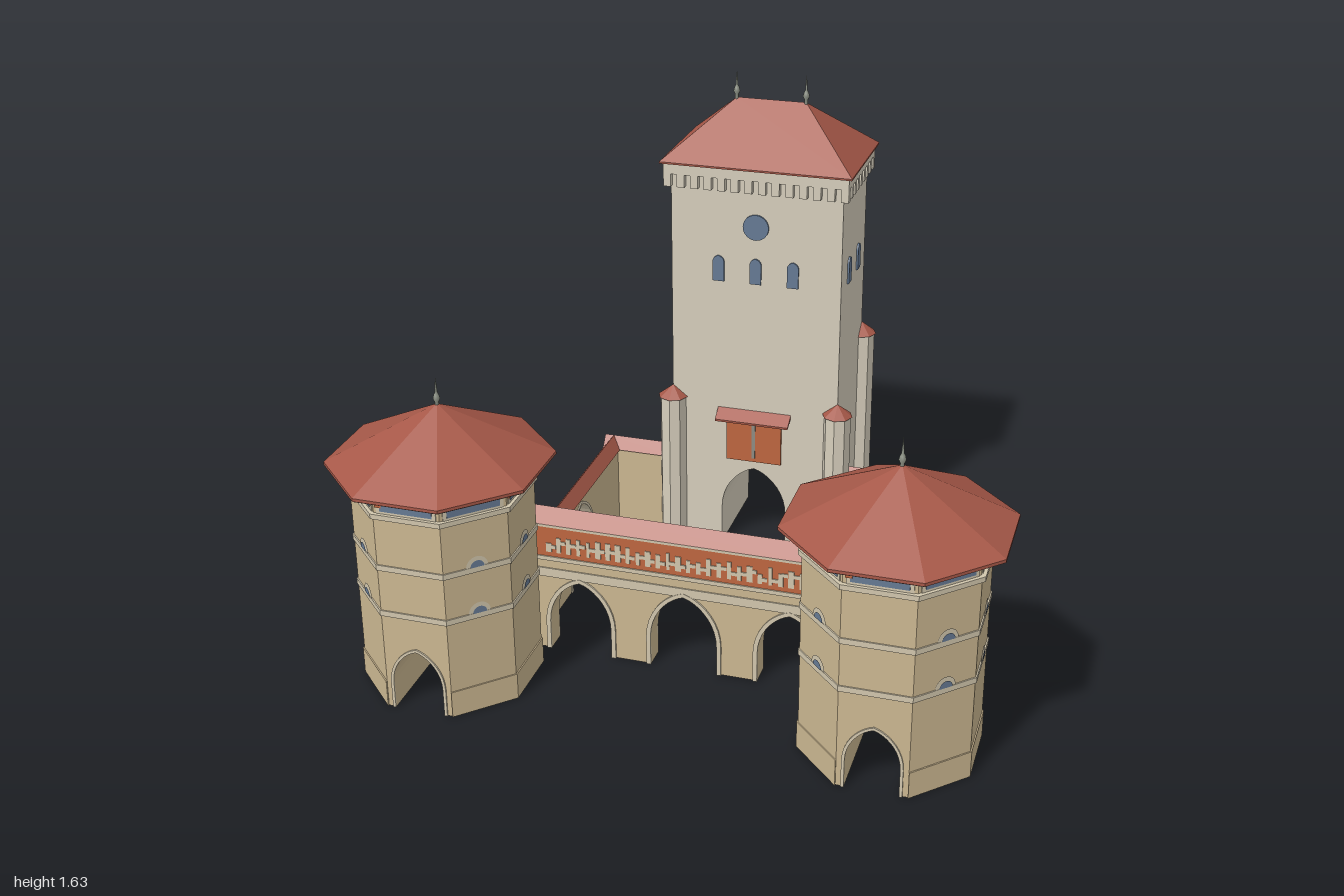
import * as THREE from 'three';
import { ConvexGeometry } from 'three/addons/geometries/ConvexGeometry.js';

const paint = (name, color) => {
  const m = new THREE.MeshStandardMaterial({ color });
  m.name = name;
  return m;
};

export function createModel() {
  const tan = paint('tanBrick', 0xcbb791);
  const stone = paint('paleStone', 0xd6cebc);
  const trim = paint('creamTrim', 0xd2c7ae);
  const tile = paint('roofTile', 0xa65848);
  const glass = paint('blueGlass', 0x667a94);
  const fresco = paint('frescoOrange', 0xbe6640);
  const metal = paint('finialMetal', 0x8b9084);
  const soffit = paint('soffitGrey', 0x8d8c84);

  const root = new THREE.Group();
  root.name = 'cityGate';

  function add(parent, name, geo, mat, x = 0, y = 0, z = 0, ry = 0) {
    const m = new THREE.Mesh(geo, mat);
    m.name = name;
    m.position.set(x, y, z);
    m.rotation.y = ry;
    parent.add(m);
    return m;
  }
  function group(parent, name, x = 0, y = 0, z = 0, ry = 0) {
    const g = new THREE.Group();
    g.name = name;
    g.position.set(x, y, z);
    g.rotation.y = ry;
    parent.add(g);
    return g;
  }
  const box = (w, h, d) => new THREE.BoxGeometry(w, h, d);
  const V2 = (x, y) => new THREE.Vector2(x, y);
  const hull = (pts) => new ConvexGeometry(pts.map((p) => new THREE.Vector3(...p)));
  const extrude = (pts, depth) =>
    new THREE.ExtrudeGeometry(new THREE.Shape(pts), { depth, bevelEnabled: false });

  // Flat-sided octagonal prism or cone standing on y = 0; a is the apothem
  function octagon(aTop, aBottom, h, start = Math.PI / 8) {
    const k = 1 / Math.cos(Math.PI / 8);
    const g = new THREE.CylinderGeometry(aTop * k, aBottom * k, h, 8, 1, false, start).toNonIndexed();
    g.computeVertexNormals();
    return g.translate(0, h / 2, 0);
  }

  // Outline of a slightly pointed arch, left foot to right foot
  function archPts(cx, w, spring, top) {
    const h = top - spring;
    const half = new THREE.CubicBezierCurve(V2(w, spring), V2(w, spring + 0.55 * h),
      V2(0.45 * w, spring + 0.92 * h), V2(0, top)).getPoints(9);
    const right = [V2(w, 0), ...half];
    const left = right.slice(0, -1).map((p) => V2(-p.x, p.y));
    return [...left, ...right.reverse()].map((p) => V2(p.x + cx, p.y));
  }
  const archWall = (x0, x1, h, arches, depth) => extrude(
    [V2(x0, 0), ...arches.flatMap((a) => archPts(...a)), V2(x1, 0), V2(x1, h), V2(x0, h)], depth);
  const archTrim = ([cx, w, s, t], e, depth) =>
    extrude([...archPts(cx, w + e, s, t + e), ...archPts(cx, w, s, t).reverse()], depth);

  // Two-slope tile cap running along x
  const ridgeCap = (x0, x1, hw, h) => hull([x0, x1].flatMap((x) => [[x, 0, hw], [x, 0, -hw], [x, h, 0]]));

  const spire = new THREE.LatheGeometry(
    [[0.006, -0.01], [0.006, 0.01], [0.011, 0.02], [0.008, 0.032], [0.004, 0.04], [0.003, 0.06], [0, 0.09]]
      .map(([x, y]) => V2(x, y)), 10);

  // ---- Main tower ----
  const Z = -0.628, HX = 0.285, HZ = 0.172;
  const tower = group(root, 'mainTower', 0, 0, Z);
  const gate = [0, 0.112, 0.14, 0.3];
  add(tower, 'towerShaft', archWall(-HX, HX, 1.366, [gate], HZ * 2), stone, 0, 0, -HZ);
  add(tower, 'corbelBand', box(0.61, 0.036, 0.384), stone, 0, 1.348, 0);
  const teeth = (ry, n, len, off) => {
    const side = group(tower, 'corbelRow', 0, 0, 0, ry);
    for (let i = 0; i < n; i++) {
      const x = -len / 2 + 0.0125 + (i * (len - 0.025)) / (n - 1);
      add(side, 'corbel', box(0.025, 0.045, 0.021), stone, x, 1.31, off - 0.0105);
    }
  };
  for (const s of [0, 1]) {
    teeth(s * Math.PI, 14, 0.61, 0.192);
    teeth(Math.PI / 2 + s * Math.PI, 9, 0.384, 0.305);
  }
  add(tower, 'hipRoof', hull([
    ...[-1, 1].flatMap((a) => [-1, 1].flatMap((b) =>
      [[a * 0.316, 1.365, b * 0.202], [a * 0.316, 1.371, b * 0.202]])),
    [-0.115, 1.545, 0], [0.115, 1.545, 0]]), tile);
  for (const x of [-0.115, 0.115]) add(tower, 'finial', spire, metal, x, 1.545, 0);

  // Tower windows
  const win = extrude(archPts(0, 0.019, 0.068, 0.088), 0.006);
  const rose = new THREE.CylinderGeometry(0.043, 0.043, 0.006, 24).rotateX(Math.PI / 2);
  for (const ry of [0, Math.PI]) {
    const face = group(tower, ry ? 'backWindows' : 'frontWindows', 0, 0, ry ? -HZ : HZ, ry);
    add(face, 'roundWindow', rose, glass, 0, 1.17, 0.003);
    for (const x of [-0.125, 0, 0.125]) add(face, 'archedWindow', win, glass, x, 0.975, 0);
    if (ry) for (const y of [0.8, 0.5]) add(face, 'stairWindow', win, glass, 0, y, 0);
  }
  for (const s of [-1, 1]) {
    const face = group(tower, 'sideWindows', s * HX, 0, 0, s * Math.PI / 2);
    for (const x of [-0.066, 0.066]) add(face, 'archedWindow', win, glass, x, 0.975, 0);
  }

  // Corner turrets, lower in front and taller behind
  for (const x of [-HX, HX]) {
    for (const [z, h] of [[HZ, 0.54], [-HZ, 0.7]]) {
      const t = group(tower, 'cornerTurret', x, 0, z);
      add(t, 'turretShaft', octagon(0.042, 0.042, h, 0), stone);
      add(t, 'turretRoof', octagon(0, 0.047, 0.04, 0), tile, 0, h, 0);
    }
  }

  // Painted panel with a small sloping hood above the gate
  add(tower, 'gatePanel', box(0.19, 0.16, 0.008), fresco, 0, 0.41, HZ + 0.004);
  add(tower, 'gatePanelLine', box(0.012, 0.13, 0.004), soffit, 0, 0.41, HZ + 0.01);
  add(tower, 'gateHood', hull([-0.126, 0.126].flatMap((x) => [
    [x, 0.518, HZ], [x, 0.505, HZ], [x, 0.49, HZ + 0.042], [x, 0.483, HZ + 0.042]])), tile);

  // ---- Front gallery ----
  const gallery = group(root, 'gallery', 0, 0, 0.28);
  const arches = [[-0.335, 0.1, 0.1, 0.25], [0, 0.106, 0.1, 0.258], [0.335, 0.1, 0.1, 0.25]];
  add(gallery, 'galleryWall', archWall(-0.53, 0.53, 0.447, arches, 0.065), tan);
  add(gallery, 'galleryRoof', ridgeCap(-0.5, 0.5, 0.043, 0.042), tile, 0, 0.445, 0.0325);
  for (const z of [-0.003, 0.068]) {
    add(gallery, 'cornice', box(0.98, 0.014, 0.014), trim, 0, 0.327, z);
    add(gallery, 'paleBand', box(0.98, 0.03, 0.004), trim, 0, 0.274, z);
    add(gallery, 'topCornice', box(0.98, 0.01, 0.01), trim, 0, 0.44, z);
  }
  for (const a of arches) {
    add(gallery, 'archTrim', archTrim(a, 0.014, 0.006), trim, 0, 0, 0.065);
    add(gallery, 'archTrim', archTrim(a, 0.014, 0.006), trim, 0, 0, -0.006);
  }
  add(gallery, 'frescoPanel', box(0.96, 0.1, 0.006), fresco, 0, 0.384, 0.068);
  let seed = 7;
  const rnd = () => (seed = (seed * 16807) % 2147483647) / 2147483647;
  for (let x = -0.43; x < 0.44; x += 0.032) {
    const h = 0.03 + rnd() * 0.03;
    add(gallery, 'frescoFigure', box(0.009 + rnd() * 0.01, h, 0.003), trim, x, 0.35 + h / 2, 0.0725);
    add(gallery, 'frescoFigure', box(0.018 + rnd() * 0.012, 0.012, 0.003), trim, x + 0.012, 0.362 + rnd() * 0.03, 0.0725);
  }

  // ---- Courtyard walls ----
  const sideArch = [0.095, 0.104, 0.12, 0.274];
  const sideWall = archWall(-0.38, 0.51, 0.302, [sideArch], 0.044).rotateY(Math.PI / 2);
  const sideTrim = archTrim(sideArch, 0.01, 0.052).rotateY(Math.PI / 2);
  for (const s of [-1, 1]) {
    const court = group(root, 'courtyardWall', s * 0.515, 0, 0);
    add(court, 'sideWall', sideWall, tan, -0.022);
    add(court, 'sideArchTrim', sideTrim, trim, -0.026);
    add(court, 'sideWallRoof', ridgeCap(-0.38, 0.49, 0.031, 0.04).rotateY(Math.PI / 2), tile, 0, 0.3, 0);
    add(court, 'backWall', box(0.25, 0.302, 0.044), tan, -s * 0.103, 0.151, -0.488);
    add(court, 'backWallRoof', ridgeCap(-0.14, 0.14, 0.031, 0.04), tile, -s * 0.109, 0.3, -0.49);
  }

  // ---- Octagonal front towers ----
  const A = 0.25, E = A * Math.tan(Math.PI / 8);
  const door = [0, 0.079, 0.09, 0.206];
  // Half-octagon block beside the passage
  const flank = (a, h) => {
    const e = a * Math.tan(Math.PI / 8);
    return extrude([V2(E, a), V2(E, -a), V2(e, -a), V2(a, -e), V2(a, e), V2(e, a)], h).rotateX(-Math.PI / 2);
  };
  for (const s of [-1, 1]) {
    const t = group(root, s > 0 ? 'leftGateTower' : 'rightGateTower', s * 0.686, 0, 0.533);
    add(t, 'passageBlock', archWall(-E, E, 0.645, [door], A * 2), tan, 0, 0, -A);
    for (const ry of [0, Math.PI]) {
      add(t, 'towerFlank', flank(A, 0.645), tan, 0, 0, 0, ry);
      add(t, 'plinth', flank(A + 0.004, 0.085), tan, 0, 0, 0, ry);
      const face = group(t, 'passageFace', 0, 0, 0, ry);
      add(face, 'passageTrim', archTrim(door, 0.009, 0.005), trim, 0, 0, A);
    }
    // String courses, window storey and roof
    for (const [y, h, a] of [[0.315, 0.018, 0.254], [0.468, 0.018, 0.254], [0.64, 0.016, 0.26]])
      add(t, 'stringCourse', octagon(a, a, h), trim, 0, y, 0);
    add(t, 'windowStorey', octagon(0.247, 0.247, 0.068), tan, 0, 0.654, 0);
    add(t, 'storeyHead', octagon(0.254, 0.254, 0.012), trim, 0, 0.708, 0);
    add(t, 'eavesSoffit', octagon(0.308, 0.308, 0.006), soffit, 0, 0.716, 0);
    add(t, 'eaves', octagon(0.3135, 0.3135, 0.01), tile, 0, 0.72, 0);
    add(t, 'towerRoof', octagon(0, 0.3135, 0.172), tile, 0, 0.73, 0);
    add(t, 'finial', spire, metal, 0, 0.897, 0);
    for (let i = 0; i < 8; i++) {
      const f = group(t, 'towerFace', 0, 0, 0, (i * Math.PI) / 4);
      add(f, 'windowFrame', box(0.185, 0.054, 0.004), trim, 0, 0.682, 0.248);
      add(f, 'stripWindow', box(0.162, 0.042, 0.006), glass, 0, 0.685, 0.249);
      if (i % 2 === 0) add(f, 'paintedShield', box(0.02, 0.022, 0.005), fresco, -0.085, 0.687, 0.251);
      if (i === 0) continue;
      // Half-round windows above each course
      for (const y of [0.333, 0.486]) {
        add(f, 'lunetteTrim', new THREE.CircleGeometry(0.034, 14, 0, Math.PI), trim, 0, y, A + 0.003);
        add(f, 'lunetteGlass', new THREE.CircleGeometry(0.022, 12, 0, Math.PI), glass, 0, y, A + 0.006);
      }
    }
  }
  return root;
}
